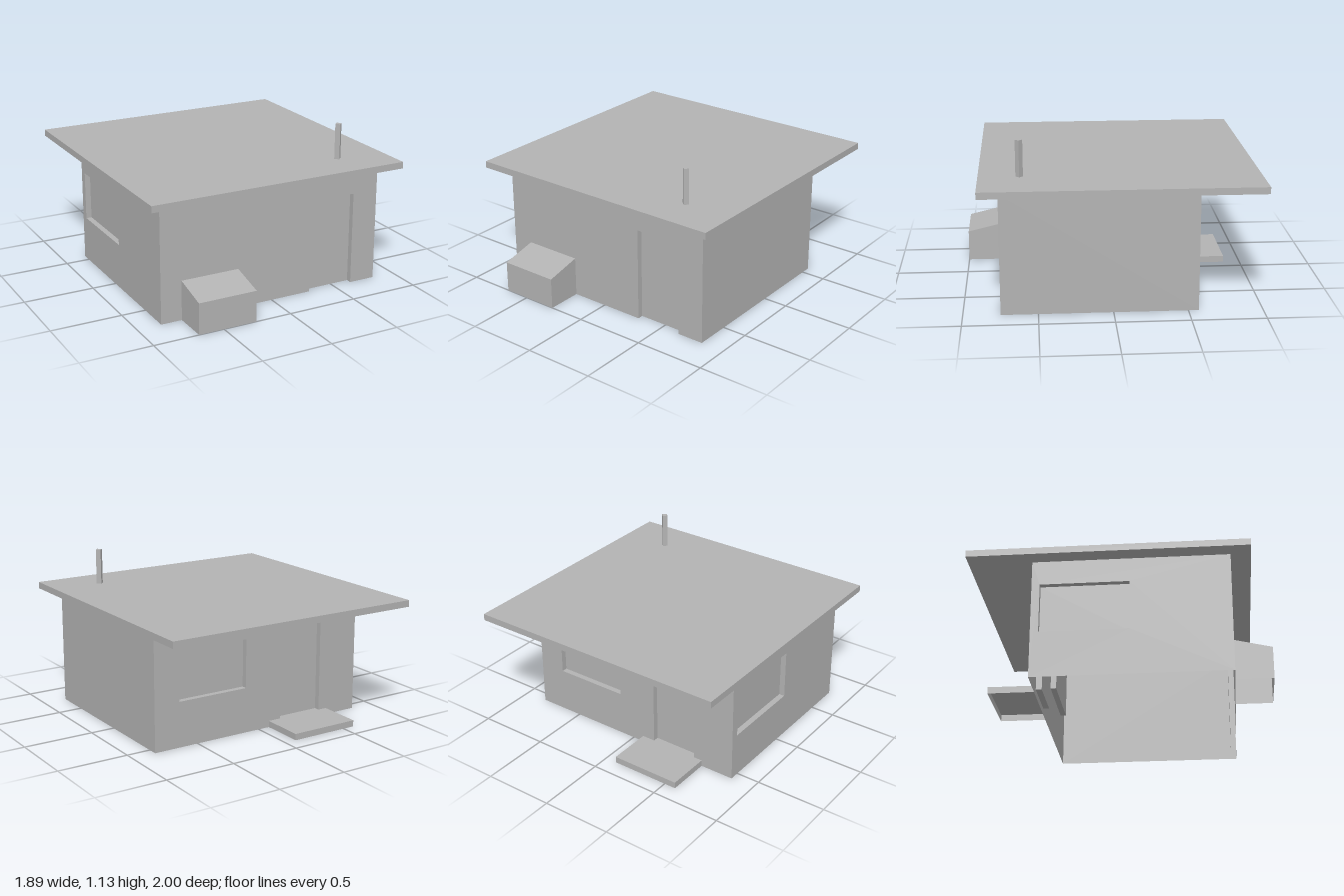
import * as THREE from 'three';

// BoxGeometry face order: +x, -x, +y, -y, +z, -z
const BOTTOM = 3, FRONT = 4, BACK = 5;

// Box without the listed faces
function openBox(w, h, d, drop) {
  const geo = new THREE.BoxGeometry(w, h, d);
  const index = Array.from(geo.index.array);
  geo.setIndex(index.filter((_, i) => !drop.includes(Math.floor(i / 6))));
  geo.clearGroups();
  return geo;
}

export function createModel() {
  const house = new THREE.Group();
  house.name = 'house';
  const grey = new THREE.MeshStandardMaterial({ color: 0xb3b3b3, side: THREE.DoubleSide });
  grey.name = 'plain grey';

  const add = (parent, name, geo, x = 0, y = 0, z = 0) => {
    const mesh = new THREE.Mesh(geo, grey);
    mesh.name = name;
    mesh.position.set(x, y, z);
    parent.add(mesh);
    return mesh;
  };

  const H = 0.835, recess = 0.04;

  // Thin wall in its own xy plane, with shallow recessed openings
  function wall(name, width, x, z, turn, openings = []) {
    const group = new THREE.Group();
    group.name = name;
    group.position.set(x, 0, z);
    group.rotation.y = turn;
    const shape = new THREE.Shape();
    shape.moveTo(-width / 2, 0);
    for (const o of openings) {
      if (o.y0 > 0) continue;
      // Openings that reach the ground are notches in the outline
      shape.lineTo(o.x0, 0);
      shape.lineTo(o.x0, o.y1);
      shape.lineTo(o.x1, o.y1);
      shape.lineTo(o.x1, 0);
    }
    shape.lineTo(width / 2, 0);
    shape.lineTo(width / 2, H);
    shape.lineTo(-width / 2, H);
    shape.closePath();
    for (const o of openings) {
      const { x0, x1, y0, y1 } = o;
      if (y0 > 0) {
        const hole = new THREE.Path();
        hole.moveTo(x0, y0);
        hole.lineTo(x0, y1);
        hole.lineTo(x1, y1);
        hole.lineTo(x1, y0);
        hole.closePath();
        shape.holes.push(hole);
      }
      const drop = y0 > 0 ? [FRONT] : [FRONT, BOTTOM];
      add(group, o.name, openBox(x1 - x0, y1 - y0, recess, drop),
        (x0 + x1) / 2, (y0 + y1) / 2, -recess / 2);
    }
    add(group, name + 'Panel', new THREE.ShapeGeometry(shape));
    house.add(group);
  }

  // Walls: front, back, left and right
  wall('frontWall', 1.66, 0, 0.75, 0, [
    { name: 'frontDoor', x0: 0.3, x1: 0.64, y0: 0, y1: 0.66 },
  ]);
  wall('backWall', 1.66, 0, -0.57, Math.PI, [
    { name: 'backWindow', x0: -0.64, x1: -0.11, y0: 0.32, y1: 0.665 },
    { name: 'backDoor', x0: 0.18, x1: 0.52, y0: 0.045, y1: 0.705 },
  ]);
  wall('leftWall', 1.32, 0.83, 0.09, Math.PI / 2);
  wall('rightWall', 1.32, -0.83, 0.09, -Math.PI / 2, [
    { name: 'sideWindow', x0: -0.605, x1: -0.01, y0: 0.32, y1: 0.665 },
  ]);

  // Flat roof slab, deeper overhang at the back
  add(house, 'roof', new THREE.BoxGeometry(1.89, 0.047, 1.885), 0, H + 0.0235, -0.0575);

  // Square chimney pipe set diagonally
  const pipe = new THREE.CylinderGeometry(0.025, 0.025, 0.25, 4).toNonIndexed();
  pipe.computeVertexNormals();
  add(house, 'chimney', pipe, 0.59, 1.007, 0.61);

  // Lean-to hatch with its lid sloping down to the front
  const hatch = openBox(0.42, 0.28, 0.25, [BOTTOM, BACK]);
  const p = hatch.attributes.position;
  for (let i = 0; i < p.count; i++) {
    if (p.getY(i) > 0 && p.getZ(i) > 0) p.setY(i, 0.08);
  }
  hatch.computeVertexNormals();
  add(house, 'cellarHatch', hatch, -0.47, 0.14, 0.875);

  // Hollow step at the back door
  add(house, 'backStep', openBox(0.5, 0.045, 0.31, [BOTTOM]), -0.335, 0.0225, -0.725);

  return house;
}
